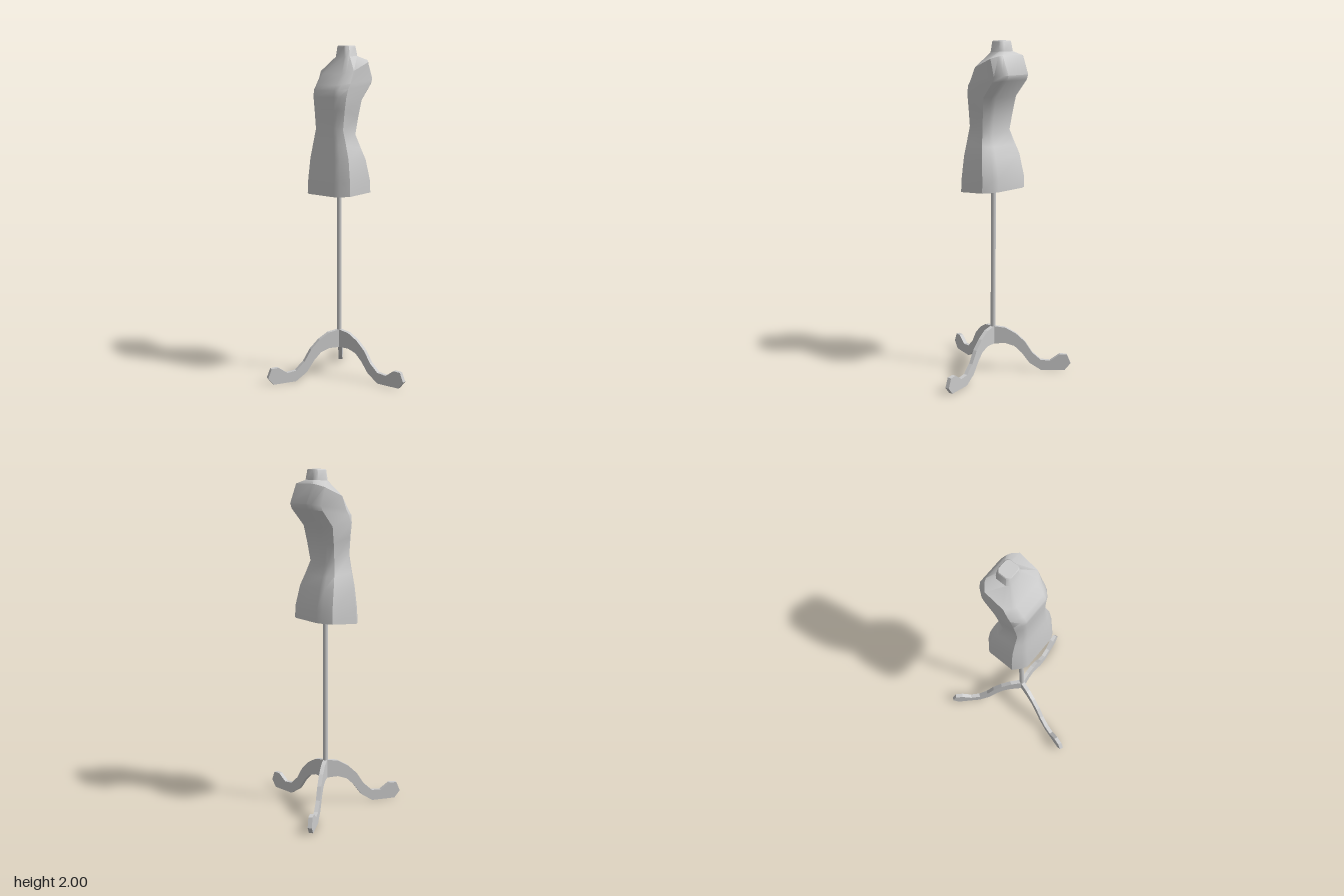
import * as THREE from 'three';
import { toCreasedNormals } from 'three/addons/utils/BufferGeometryUtils.js';

const AXIS_X = -0.063, AXIS_Z = -0.057;

// Torso rings: [half width, front z, front y, back z, back y], bottom to top
const RINGS = [
  [0.183, 0.088, 1.125, -0.192, 1.145],
  [0.18, 0.085, 1.21, -0.19, 1.215],
  [0.164, 0.073, 1.34, -0.162, 1.335],
  [0.142, 0.064, 1.425, -0.135, 1.4],
  [0.116, 0.058, 1.52, -0.11, 1.475],
  [0.128, 0.061, 1.63, -0.127, 1.58],
  [0.139, 0.064, 1.7, -0.147, 1.68],
  [0.14, 0.065, 1.74, -0.232, 1.78],
  [0.14, 0.045, 1.77, -0.242, 1.81],
  [0.14, 0.0, 1.835, -0.197, 1.92],
  [0.058, -0.066, 1.935, -0.168, 1.94],
  [0.048, -0.072, 1.995, -0.16, 1.995],
  [0.044, -0.076, 2.0, -0.156, 2.0],
];

// One quarter of the chamfered cross-section, mirrored into a full loop
const QUARTER = [[1, 0.6], [0.76, 0.89], [0.58, 1]];
const SECTION = [
  ...QUARTER,
  ...QUARTER.map(([x, z]) => [-x, z]).reverse(),
  ...QUARTER.map(([x, z]) => [-x, -z]),
  ...QUARTER.map(([x, z]) => [x, -z]).reverse(),
];

function torsoGeometry() {
  const pos = [], index = [], n = SECTION.length;
  for (const [w, zf, yf, zb, yb] of RINGS) {
    for (const [x, z] of SECTION) {
      const t = (z + 1) / 2;
      pos.push(AXIS_X + x * w, yb + (yf - yb) * t, zb + (zf - zb) * t);
    }
  }
  for (let r = 0; r < RINGS.length - 1; r++) {
    for (let i = 0; i < n; i++) {
      const a = r * n + i, b = r * n + (i + 1) % n;
      index.push(a, a + n, b, b, a + n, b + n);
    }
  }
  // Flat caps under the hips and on the neck
  const top = (RINGS.length - 1) * n;
  for (let i = 1; i < n - 1; i++) {
    index.push(0, i, i + 1, top, top + i + 1, top + i);
  }
  const g = new THREE.BufferGeometry();
  g.setAttribute('position', new THREE.Float32BufferAttribute(pos, 3));
  g.setIndex(index);
  return toCreasedNormals(g, 0.75);
}

// Curved leg outline: distance from the pole, height
const LEG = [
  [0, 0.175], [0.075, 0.177], [0.13, 0.158], [0.175, 0.115], [0.225, 0.047],
  [0.297, 0], [0.443, 0], [0.478, 0.043], [0.455, 0.098], [0.41, 0.1],
  [0.353, 0.06], [0.294, 0.066], [0.24, 0.115], [0.195, 0.185],
  [0.139, 0.238], [0.075, 0.275], [0, 0.287],
];

export function createModel() {
  const model = new THREE.Group();
  const material = new THREE.MeshStandardMaterial({ color: 0xcccccc });
  const add = (geometry, name) => {
    const mesh = new THREE.Mesh(geometry, material);
    mesh.name = name;
    model.add(mesh);
    return mesh;
  };

  add(torsoGeometry(), 'torso');

  // Pole from the leg hub up into the torso
  const pole = add(new THREE.CylinderGeometry(0.015, 0.015, 0.99, 12), 'pole');
  pole.position.set(AXIS_X, 0.675, AXIS_Z);

  // Three legs around the pole
  const thickness = 0.024;
  const legGeometry = new THREE.ExtrudeGeometry(
    new THREE.Shape(LEG.map(([r, y]) => new THREE.Vector2(r, y))),
    { depth: thickness, bevelEnabled: false },
  );
  legGeometry.translate(0, 0, -thickness / 2);
  [['leftLeg', 9], ['backLeg', 134.5], ['frontLeg', 252.5]].forEach(([name, deg]) => {
    const leg = add(legGeometry, name);
    leg.position.set(AXIS_X, 0, AXIS_Z);
    leg.rotation.y = THREE.MathUtils.degToRad(deg);
  });

  return model;
}
